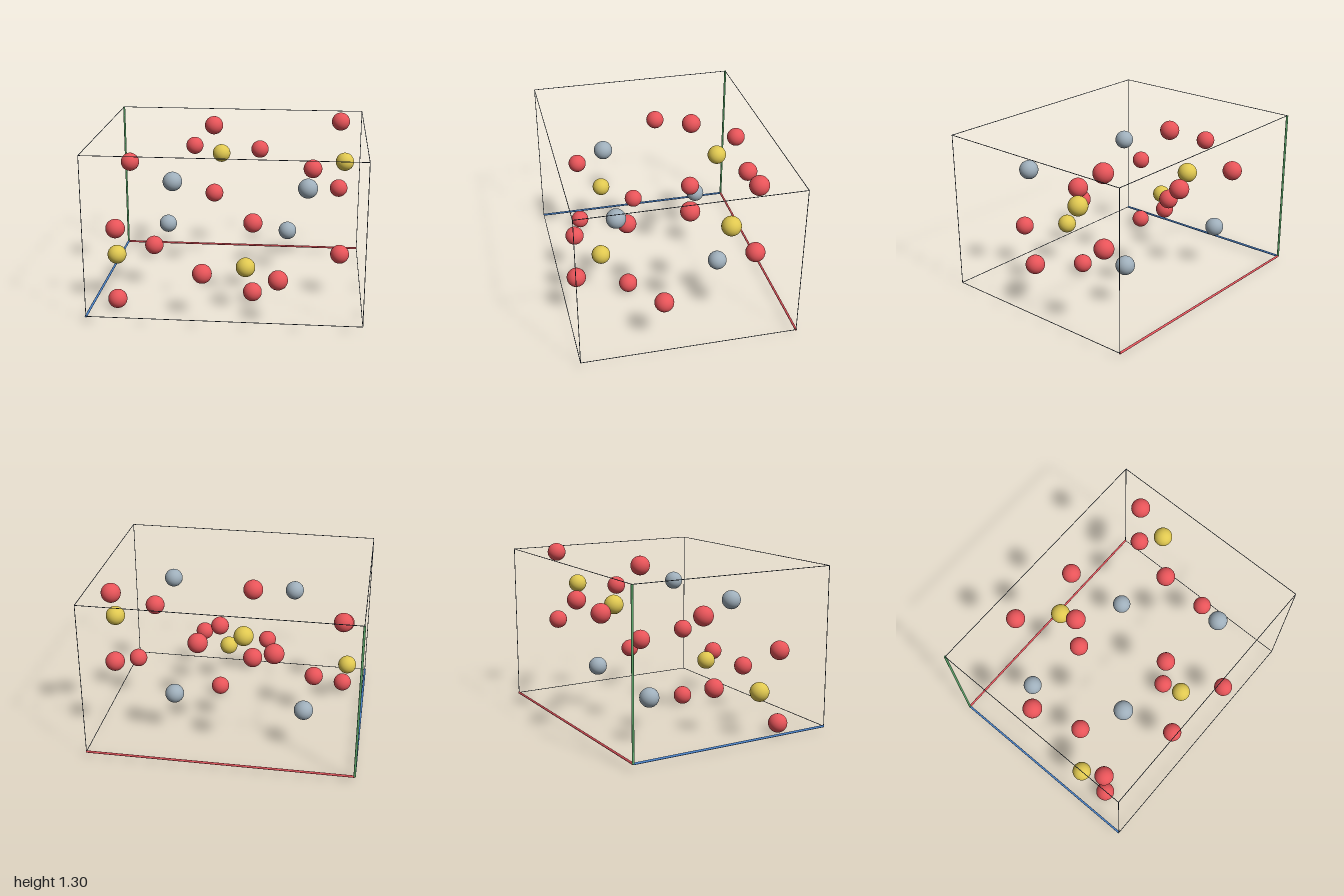
import * as THREE from 'three';

const material = (name, color) => {
  const m = new THREE.MeshStandardMaterial({ color });
  m.name = name;
  return m;
};

export function createModel() {
  const group = new THREE.Group();
  group.name = 'crystalCell';

  const red = material('red', 0xea555a);
  const yellow = material('yellow', 0xe0c850);
  const grey = material('grey', 0x9fafbb);
  const slate = material('slate', 0x3a4654);
  const axisRed = material('axisRed', 0xe0525a);
  const axisGreen = material('axisGreen', 0x62b070);
  const axisBlue = material('axisBlue', 0x4a82c8);

  const C = [0.003, 0.65, 0.003]; // centre of the cell, shifted a little by the thick axes
  const HALF = [0.9945, 0.601, 0.804]; // half sizes of the cell

  // Atoms: each is repeated through the centre of the cell
  const ball = new THREE.SphereGeometry(0.0715, 32, 20);
  const addAtoms = (name, mat, half) => {
    half.forEach(([x, y, z]) => {
      for (const s of [1, -1]) {
        const atom = new THREE.Mesh(ball, mat);
        atom.name = name;
        atom.position.set(C[0] + s * x, C[1] + s * y, C[2] + s * z);
        group.add(atom);
      }
    });
  };
  const LAYER = 0.301; // offset of the two flat layers
  addAtoms('greyAtom', grey, [
    [-0.413, LAYER, 0.357],
    [0.581, LAYER, 0.447],
  ]);
  addAtoms('yellowAtom', yellow, [
    [-0.138, LAYER, -0.493],
    [0.857, LAYER, -0.312],
  ]);
  addAtoms('redAtom', red, [
    [-0.387, LAYER, -0.724],
    [0.165, LAYER, -0.65],
    [-0.829, LAYER, -0.157],
    [0.609, LAYER, -0.082],
    [-0.176, 0.578, -0.292],
    [-0.176, 0.024, -0.292],
    [0.819, 0.578, -0.512],
    [0.819, 0.024, -0.512],
  ]);

  // Cell edges: four along each direction; the three from the origin corner are thick and coloured
  const axisMats = [axisRed, axisGreen, axisBlue];
  const axisNames = ['xAxis', 'yAxis', 'zAxis'];
  const turns = [[0, 0, Math.PI / 2], [0, 0, 0], [Math.PI / 2, 0, 0]];
  for (let d = 0; d < 3; d++) {
    const a = (d + 1) % 3, b = (d + 2) % 3;
    for (const sa of [-1, 1]) {
      for (const sb of [-1, 1]) {
        const isAxis = sa < 0 && sb < 0;
        const r = isAxis ? 0.0085 : 0.0025;
        const edge = new THREE.Mesh(
          new THREE.CylinderGeometry(r, r, 2 * HALF[d], 12),
          isAxis ? axisMats[d] : slate
        );
        edge.name = isAxis ? axisNames[d] : 'cellEdge';
        const p = [...C];
        p[a] += sa * HALF[a];
        p[b] += sb * HALF[b];
        edge.position.set(...p);
        edge.rotation.set(...turns[d]);
        group.add(edge);
      }
    }
  }
  return group;
}
